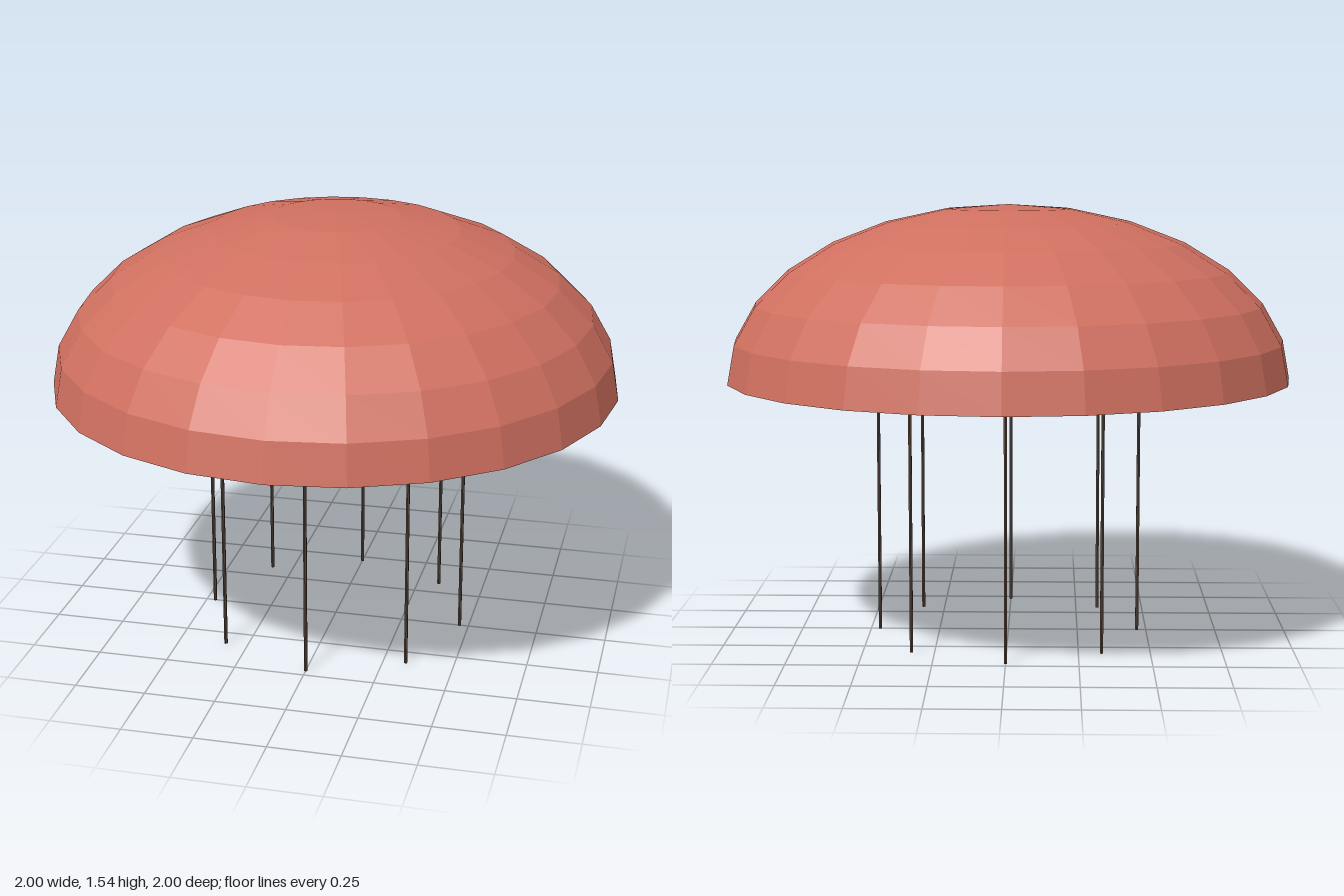
import * as THREE from 'three';

const RIM_Y = 0.925;
const DOME_HEIGHT = 0.615;
const POLE_HEIGHT = 0.967;
const POLE_RING = 0.467;

export function createModel() {
  const model = new THREE.Group();
  model.name = 'domeOnPoles';

  const coral = new THREE.MeshStandardMaterial({ color: 0xd07060, flatShading: true, side: THREE.DoubleSide });
  coral.name = 'coral';
  const darkBrown = new THREE.MeshStandardMaterial({ color: 0x54443a, flatShading: true });
  darkBrown.name = 'dark brown';

  // Open, flattened half sphere
  const domeGeometry = new THREE.SphereGeometry(1, 24, 7, 0, Math.PI * 2, 0, Math.PI / 2);
  domeGeometry.scale(1, DOME_HEIGHT, 1);
  const dome = new THREE.Mesh(domeGeometry, coral);
  dome.name = 'dome';
  dome.position.y = RIM_Y;
  model.add(dome);

  // Ring of eight thin poles reaching just inside the dome
  const poles = new THREE.Group();
  poles.name = 'poles';
  const poleGeometry = new THREE.CylinderGeometry(0.0065, 0.0065, POLE_HEIGHT, 6);
  for (let i = 0; i < 8; i++) {
    const angle = (i * Math.PI) / 4;
    const pole = new THREE.Mesh(poleGeometry, darkBrown);
    pole.name = `pole${i + 1}`;
    pole.position.set(Math.cos(angle) * POLE_RING, POLE_HEIGHT / 2, Math.sin(angle) * POLE_RING);
    poles.add(pole);
  }
  model.add(poles);

  return model;
}
